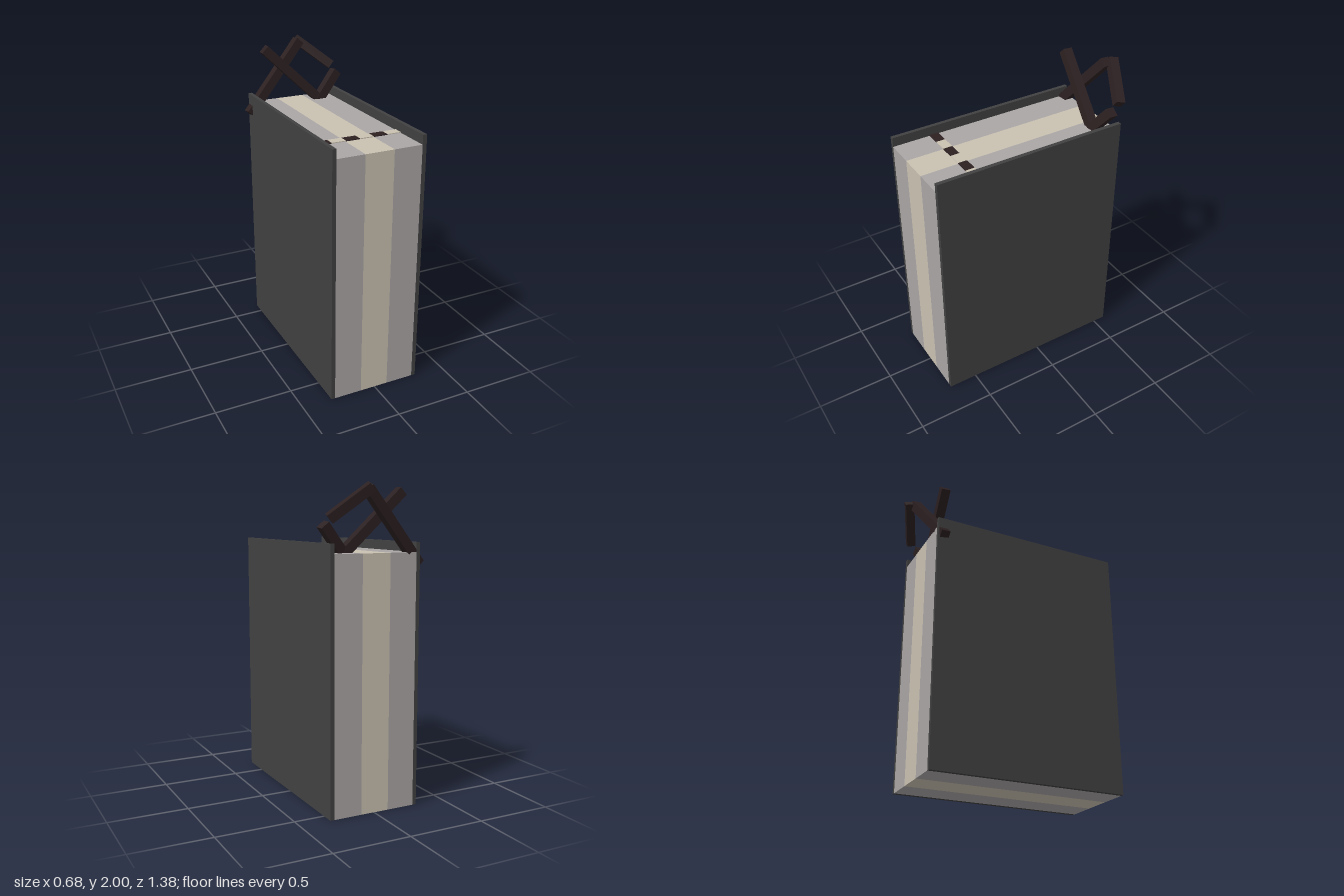
import * as THREE from 'three';

const mat = (name, color) => {
  const m = new THREE.MeshStandardMaterial({ color });
  m.name = name;
  return m;
};

export function createModel() {
  const group = new THREE.Group();
  const coverGrey = mat('cover charcoal', 0x414141);
  const pageGrey = mat('page grey', 0xaaa6a5);
  const cream = mat('cream', 0xc9c1b1);
  const darkBrown = mat('dark brown', 0x2c2021);

  // Axis-aligned box given by its extents
  const block = (name, material, [x0, x1], [y0, y1], [z0, z1]) => {
    const mesh = new THREE.Mesh(new THREE.BoxGeometry(x1 - x0, y1 - y0, z1 - z0), material);
    mesh.position.set((x0 + x1) / 2, (y0 + y1) / 2, (z0 + z1) / 2);
    mesh.name = name;
    group.add(mesh);
  };

  // Square bar running between two points
  const bar = (name, a, b, size = 0.06) => {
    const start = new THREE.Vector3(...a), end = new THREE.Vector3(...b);
    const along = end.clone().sub(start);
    const mesh = new THREE.Mesh(new THREE.BoxGeometry(size, along.length(), size), darkBrown);
    along.normalize();
    const side = along.clone().cross(new THREE.Vector3(0, 0, 1)).normalize();
    const depth = side.clone().cross(along);
    mesh.quaternion.setFromRotationMatrix(new THREE.Matrix4().makeBasis(side, along, depth));
    mesh.position.copy(start).add(end).multiplyScalar(0.5);
    mesh.name = name;
    group.add(mesh);
  };

  const depth = [-0.585, 0.69];
  const top = 1.59;

  // Side covers, standing proud of the core
  block('leftCover', coverGrey, [0.275, 0.302], [0, 1.65], depth);
  block('rightCover', coverGrey, [-0.305, -0.28], [0, 1.65], depth);

  // Core with a cream middle stripe
  block('rightCore', pageGrey, [-0.28, -0.098], [0, top], depth);
  block('middleStripe', cream, [-0.098, 0.09], [0, top], depth);
  block('leftCore', pageGrey, [0.09, 0.275], [0, top], depth);

  // Checkered band across the top
  const step = 0.555 / 6;
  for (let i = 0; i < 6; i++) {
    const x = -0.28 + i * step;
    block('bandTile' + (i + 1), i % 2 ? cream : darkBrown,
      [x, x + step], [top, top + 0.005], [0.385, 0.445]);
  }

  // Crossed bars rising at the back
  bar('longBar', [-0.317, 1.52, -0.543], [0.08, 1.968, -0.613]);
  bar('upperBar', [0.075, 1.972, -0.66], [0.298, 1.79, -0.56], 0.058);
  bar('crossBar', [-0.213, 1.953, -0.513], [0.17, 1.58, -0.472]);
  bar('shortBar', [0.308, 1.757, -0.5], [0.16, 1.58, -0.47]);

  return group;
}
